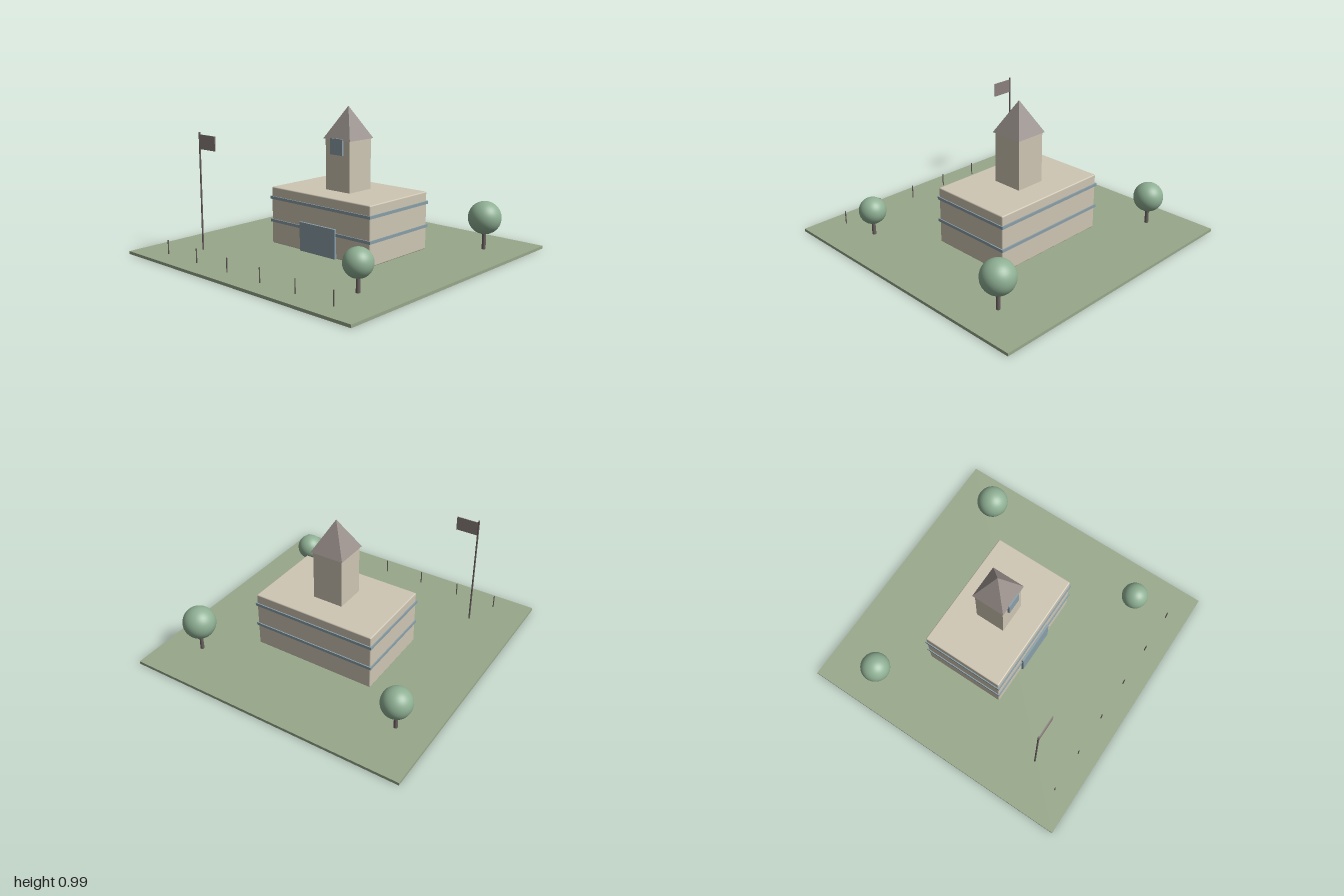
import * as THREE from 'three';
import { RoundedBoxGeometry } from 'three/addons/geometries/RoundedBoxGeometry.js';

const GROUND = 0.02; // top of the lawn
const CENTRE_Z = -0.1; // middle of the building

const paint = (color, flatShading = false) => {
  const m = new THREE.MeshStandardMaterial({ flatShading });
  m.color.set(color);
  return m;
};

export function createModel() {
  const model = new THREE.Group();
  const grass = paint(0x98a88a);
  const stone = paint(0xcec6b4);
  const glass = paint(0x8a9fa8);
  const slate = paint(0x99908c, true);
  const cloth = paint(0x8c817e);
  const dark = paint(0x6a6260);
  const leaf = paint(0x8fb094);

  const add = (name, geometry, material, x, y, z, parent = model) => {
    const mesh = new THREE.Mesh(geometry, material);
    mesh.name = name;
    mesh.position.set(x, y, z);
    parent.add(mesh);
    return mesh;
  };
  const box = (name, material, w, h, d, x, bottom, z, parent) =>
    add(name, new THREE.BoxGeometry(w, h, d), material, x, bottom + h / 2, z, parent);
  const post = (name, rTop, rBottom, h, x, z, parent) =>
    add(name, new THREE.CylinderGeometry(rTop, rBottom, h, 12), dark, x, GROUND + h / 2, z, parent);

  box('lawn', grass, 2, GROUND, 2, 0, 0, 0);

  // Main hall with softly rounded edges and two window bands
  const building = new THREE.Group();
  building.name = 'building';
  model.add(building);
  add('hall', new RoundedBoxGeometry(0.89, 0.4, 0.592, 2, 0.008), stone, 0, 0.22, CENTRE_Z, building);
  for (const y of [0.173, 0.335])
    box('windowBand', glass, 0.904, 0.02, 0.608, 0, y, CENTRE_Z, building);
  box('entrance', glass, 0.32, 0.2, 0.02, 0, GROUND, 0.202, building);

  // Tower, pyramid roof and front panel
  box('tower', stone, 0.216, 0.36, 0.216, 0, 0.415, CENTRE_Z, building);
  const roof = new THREE.ConeGeometry(0.12 * Math.SQRT2, 0.22, 4).rotateY(Math.PI / 4);
  add('towerRoof', roof, slate, 0, 0.88, CENTRE_Z, building);
  box('towerPanel', glass, 0.11, 0.11, 0.02, 0, 0.67, 0.015, building);

  // Flagpole and flag
  const flagpole = new THREE.Group();
  flagpole.name = 'flagpole';
  model.add(flagpole);
  post('pole', 0.006, 0.006, 0.805, -0.66, 0.64, flagpole);
  box('flag', cloth, 0.155, 0.098, 0.006, -0.578, 0.713, 0.64, flagpole);

  // Row of bollards along the front edge
  for (let i = 0; i < 6; i++) post('bollard', 0.004, 0.004, 0.095, -0.75 + i * 0.3, 0.86);

  // Trees: x, z, crown radius, crown height
  const trees = [
    [-0.763, -0.62, 0.103, 0.22],
    [0.74, -0.66, 0.113, 0.24],
    [0.7, 0.6, 0.093, 0.2],
  ];
  for (const [x, z, r, y] of trees) {
    const tree = new THREE.Group();
    tree.name = 'tree';
    model.add(tree);
    post('trunk', 0.011, 0.014, y - GROUND, x, z, tree);
    add('crown', new THREE.SphereGeometry(r, 32, 20), leaf, x, y, z, tree);
  }

  return model;
}
